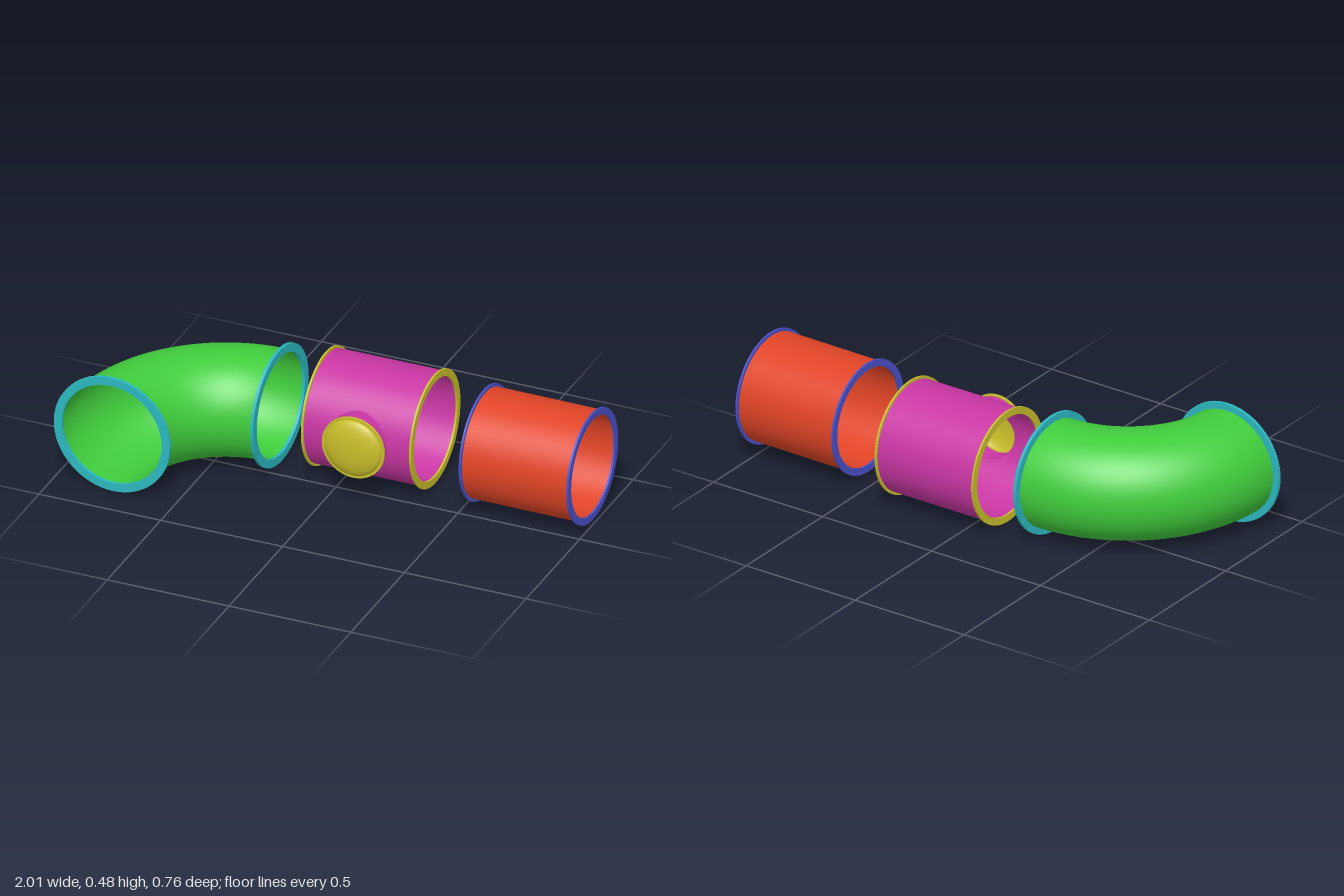
import * as THREE from 'three';
import { toCreasedNormals } from 'three/addons/utils/BufferGeometryUtils.js';
import { ParametricGeometry } from 'three/addons/geometries/ParametricGeometry.js';

const paint = (color) => new THREE.MeshStandardMaterial({ color, side: THREE.DoubleSide });
const green = paint(0x40cc3c), cyan = paint(0x2cb8c0);
const magenta = paint(0xc936a4), yellow = paint(0xc8be2a);
const red = paint(0xe04426), blue = paint(0x4a50c8);

function add(parent, name, geometry, material, x = 0, y = 0, z = 0) {
  const mesh = new THREE.Mesh(geometry, material);
  mesh.name = name;
  mesh.position.set(x, y, z);
  parent.add(mesh);
  return mesh;
}

function section(name, x, y, z, turn = 0) {
  const group = new THREE.Group();
  group.name = name;
  group.position.set(x, y, z);
  group.rotation.y = turn;
  return group;
}

// Hollow ring or sleeve with crisp rims, lying along x or z
function sleeve(outer, inner, length, axis) {
  const h = length / 2;
  const profile = [[inner, -h], [outer, -h], [outer, h], [inner, h], [inner, -h]];
  const geometry = new THREE.LatheGeometry(profile.map(([r, y]) => new THREE.Vector2(r, y)), 64);
  if (axis === 'x') geometry.rotateZ(-Math.PI / 2);
  else geometry.rotateX(Math.PI / 2);
  return toCreasedNormals(geometry, 0.6);
}

// Quarter bend with a flange on each end
function buildElbow() {
  const bend = 0.475;
  const elbow = section('elbowPipe', -0.285, 0.242, 0.382, -0.035);
  for (const [name, r] of [['elbowOuterWall', 0.215], ['elbowInnerWall', 0.209]]) {
    const wall = new THREE.TorusGeometry(bend, r, 64, 40, Math.PI / 2);
    wall.rotateX(Math.PI / 2).rotateY(Math.PI);
    add(elbow, name, wall, green);
  }
  add(elbow, 'elbowFrontFlange', sleeve(0.242, 0.208, 0.012, 'z'), cyan, -bend, 0, -0.005);
  add(elbow, 'elbowSideFlange', sleeve(0.242, 0.208, 0.012, 'x'), cyan, -0.005, 0, -bend);
  return elbow;
}

// Straight pipe with a capped port on its front
function buildTee() {
  const half = 0.222, spread = 1.5, neckEnd = 0.252;
  const tee = section('portedPipe', 0.115, 0.247, -0.155);

  const walls = [['Outer', 0.222, 0.121], ['Inner', 0.21, 0.108]];
  for (const [side, R, r] of walls) {
    const onPipe = (x, a, p) => p.set(x, R * Math.sin(a), R * Math.cos(a));

    // Front half: blends from the round port hole out to the patch border
    const front = new ParametricGeometry((u, v, p) => {
      const t = u * Math.PI * 2, c = Math.cos(t), s = Math.sin(t);
      const m = Math.max(Math.abs(c), Math.abs(s));
      const x = THREE.MathUtils.lerp(r * c, half * c / m, v);
      const a = THREE.MathUtils.lerp(Math.asin(r * s / R), spread * s / m, v);
      onPipe(x, a, p);
    }, 96, 10);
    add(tee, 'pipeFront' + side, front, magenta);

    const back = new ParametricGeometry((u, v, p) => {
      onPipe((v - 0.5) * 2 * half, spread + u * (Math.PI * 2 - 2 * spread), p);
    }, 40, 1);
    add(tee, 'pipeBack' + side, back, magenta);

    // Port neck: its base follows the curve of the pipe
    const neck = new ParametricGeometry((u, v, p) => {
      const t = u * Math.PI * 2, y = r * Math.sin(t);
      p.set(r * Math.cos(t), y, THREE.MathUtils.lerp(Math.sqrt(R * R - y * y), neckEnd, v));
    }, 64, 1);
    add(tee, 'portNeck' + side, neck, magenta);
  }

  for (const side of [-1, 1]) {
    add(tee, side < 0 ? 'rightFlange' : 'leftFlange',
      sleeve(0.232, 0.203, 0.008, 'x'), yellow, side * half);
  }

  // Port flange and its shallow domed cap
  add(tee, 'portFlange', sleeve(0.128, 0.107, 0.01, 'z'), yellow, 0, 0, 0.254);
  const dome = [];
  for (let i = 0; i <= 12; i++) {
    const a = (i / 12) * Math.PI / 2;
    dome.push(new THREE.Vector2(0.118 * Math.cos(a), 0.036 * Math.sin(a)));
  }
  const cap = new THREE.LatheGeometry(dome, 64).rotateX(Math.PI / 2);
  add(tee, 'portCap', cap, yellow, 0, 0, 0.256);
  return tee;
}

// Plain straight pipe with end rings
function buildStraight() {
  const half = 0.222;
  const pipe = section('straightPipe', 0.775, 0.25, -0.127, -0.012);
  add(pipe, 'straightWall', sleeve(0.216, 0.204, half * 2, 'x'), red);
  for (const side of [-1, 1]) {
    add(pipe, side < 0 ? 'rightRing' : 'leftRing',
      sleeve(0.228, 0.2, 0.008, 'x'), blue, side * half);
  }
  return pipe;
}

export function createModel() {
  const model = new THREE.Group();
  model.name = 'pipeFittings';
  model.add(buildElbow(), buildTee(), buildStraight());
  return model;
}
